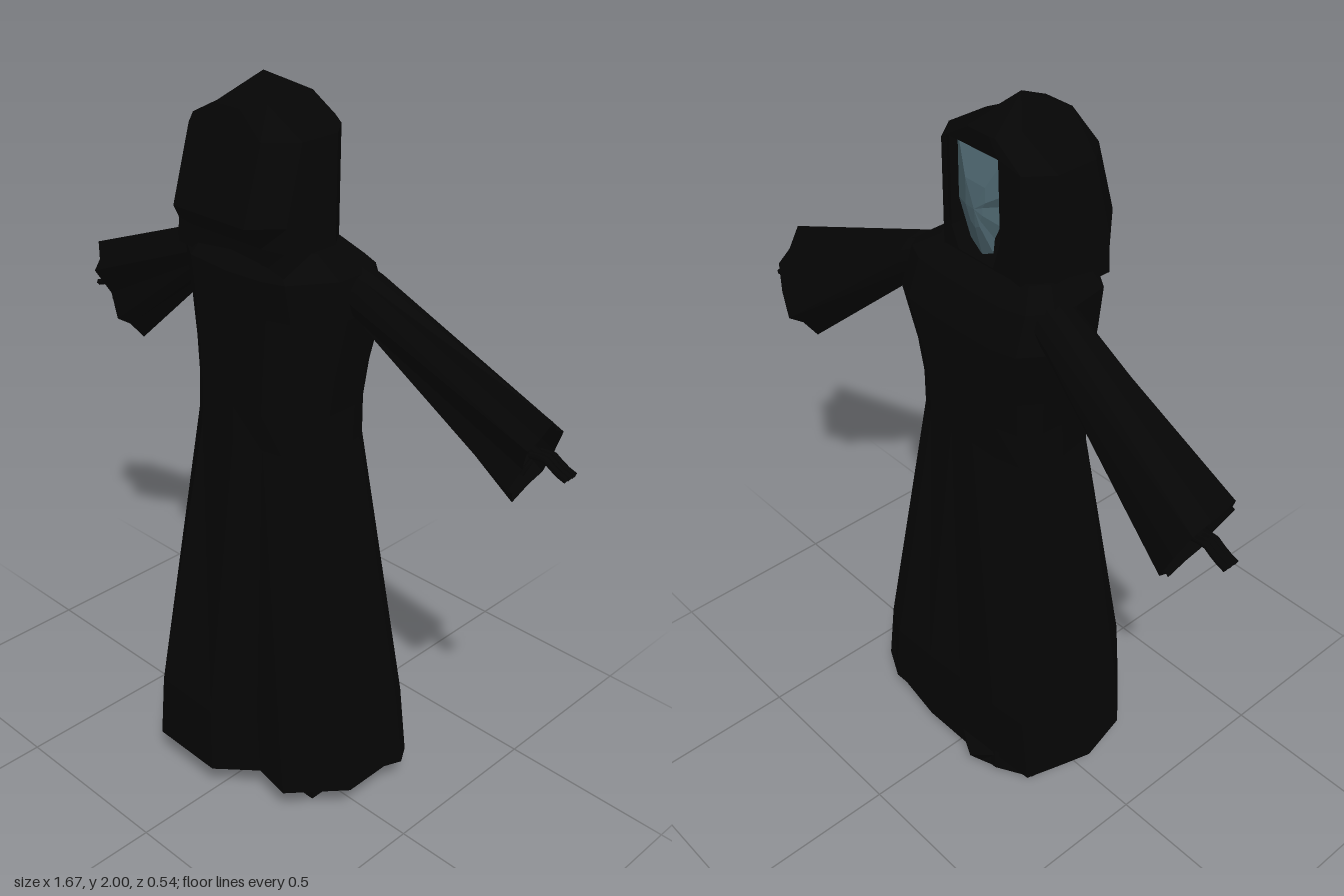
import * as THREE from 'three';

const cloth = new THREE.MeshStandardMaterial({ color: 0x050505, side: THREE.DoubleSide });
cloth.name = 'black cloth';
const skin = new THREE.MeshStandardMaterial({ color: 0x4d666f, side: THREE.DoubleSide });
skin.name = 'pale teal skin';

// Faceted mesh from a list of triangles (each three [x, y, z] points)
function facets(name, tris, mat = cloth) {
  const g = new THREE.BufferGeometry();
  g.setAttribute('position', new THREE.Float32BufferAttribute(tris.flat(2), 3));
  g.computeVertexNormals();
  const m = new THREE.Mesh(g, mat);
  m.name = name;
  return m;
}

// Triangles from a ring of points to one tip
const fan = (ring, tip) => ring.map((p, j) => [p, tip, ring[(j + 1) % ring.length]]);

// Triangles between neighbouring rings; skip(row, column) leaves holes
function strips(rings, { skip, open } = {}) {
  const tris = [], n = rings[0].length;
  const cols = open ? n - 1 : n;
  for (let i = 0; i < rings.length - 1; i++) {
    for (let j = 0; j < cols; j++) {
      if (skip && skip(i, j)) continue;
      const k = (j + 1) % n;
      const [a, b, c, d] = [rings[i][j], rings[i][k], rings[i + 1][k], rings[i + 1][j]];
      tris.push([a, d, b], [b, d, c]);
    }
  }
  return tris;
}

// Joins rings into a mesh; base and tip close the ends
function loft(name, rings, { base, tip, ...rest } = {}) {
  const tris = strips(rings, rest);
  if (base) tris.push(...fan([...rings[0]].reverse(), base));
  if (tip) tris.push(...fan(rings[rings.length - 1], tip));
  return facets(name, tris);
}

function box(name, w, h, d, x, y, z) {
  const m = new THREE.Mesh(new THREE.BoxGeometry(w, h, d), cloth);
  m.name = name;
  m.position.set(x, y, z);
  return m;
}

// Robe: the folded hem outline blends upward into a rounded torso
function robe() {
  const hem = [[-0.355, -0.01], [-0.32, 0.14], [-0.2, 0.265], [0.02, 0.27], [0.12, 0.18], [0.23, 0.2],
    [0.35, 0.06], [0.35, -0.08], [0.37, -0.13], [0.34, -0.18], [0.25, -0.225], [0.1, -0.22],
    [-0.03, -0.21], [-0.18, -0.21], [-0.3, -0.2], [-0.33, -0.1]];
  const unit = hem.map(([x, z]) => [(x - 0.0075) / 0.3625, (z - 0.0225) / 0.2475]);
  // height, x range, z range, roundness
  const levels = [
    [0.1, -0.355, 0.373, -0.225, 0.27, 0],
    [0.3, -0.327, 0.345, -0.224, 0.27, 0.08],
    [1.1, -0.21, 0.228, -0.14, 0.167, 0.8],
    [1.2, -0.207, 0.225, -0.145, 0.165, 1],
    [1.3, -0.217, 0.235, -0.155, 0.165, 1],
    [1.46, -0.247, 0.262, -0.183, 0.165, 1],
    [1.56, -0.243, 0.253, -0.15, 0.177, 1],
    [1.61, -0.2, 0.175, -0.105, 0.14, 1],
  ];
  const rings = levels.map(([y, x0, x1, z0, z1, t]) => unit.map(([u, v]) => {
    // squarer in front of the body than behind it
    const e = v < 0 ? 4 : 2.6;
    const r = (Math.abs(u) ** e + Math.abs(v) ** e) ** (1 / e);
    const px = u + (u / r - u) * t, pz = v + (v / r - v) * t;
    return [(x0 + x1) / 2 + px * (x1 - x0) / 2, y, (z0 + z1) / 2 + pz * (z1 - z0) / 2];
  }));
  return loft('robe', rings, { base: [0, 0.11, 0.02], tip: [-0.01, 1.62, 0.02] });
}

// Hood: faceted shell with chamfered front corners and an opening facing -z
function hood() {
  // height, x range, opening x range, lip rise, back depth, side depth, front chamfer
  const levels = [
    [1.57, -0.2, 0.167, -0.08, 0.06, 0, 0.145, 0.14, 0.05],
    [1.63, -0.2, 0.167, -0.06, 0.06, -0.015, 0.147, 0.135, 0.05],
    [1.69, -0.2, 0.167, -0.085, 0.095, 0, 0.203, 0.13, 0.05],
    [1.88, -0.2, 0.167, -0.08, 0.095, 0.015, 0.147, 0.08, 0.05],
    [1.94, -0.085, 0.045, -0.05, 0.02, 0, 0.14, 0.07, 0.02],
  ];
  const rings = levels.map(([y, x0, x1, o0, o1, lip, zb, zs, c]) => [
    [o1, y + lip, -0.103], [x1 - c, y, -0.1], [x1, y, -0.035], [x1, y, zs], [x1 * 0.6, y, zb],
    [x0 * 0.7, y, zb], [x0, y, zs], [x0, y, -0.035], [x0 + c, y, -0.1], [o0, y + lip, -0.103],
  ]);
  return loft('hood', rings, {
    tip: [-0.02, 2, 0.02],
    skip: (i, j) => j === 9 && (i === 1 || i === 2),
  });
}

// Face: shallow mask with an uneven edge and a raised nose ridge
function face() {
  const edge = [[0.09, 1.9], [-0.078, 1.895], [-0.08, 1.8], [-0.055, 1.76], [-0.055, 1.71],
    [-0.035, 1.67], [-0.03, 1.63], [0.01, 1.61], [0.05, 1.64], [0.09, 1.73]];
  const rim = edge.map(([x, y]) => [x, y, -0.074]);
  const ridge = edge.map(([x, y]) => [x * 0.4 - 0.005, 1.755 + (y - 1.755) * 0.4, -0.104]);
  return facets('face', [...strips([rim, ridge]), ...fan(ridge, [-0.008, 1.75, -0.113])], skin);
}

// Sleeve: flares from the shoulder to a ragged cuff, its top edge swept toward +z
function sleeve(s) {
  const n = 12;
  const ring = (top, bottom, z0, z1, ragged, sweep) => Array.from({ length: n }, (_, i) => {
    const a = i / n * Math.PI * 2;
    const k = i % 2 ? ragged : 1;
    const c = Math.cos(a) * k / 2, w = Math.sin(a) * k / 2;
    return [s * ((top[0] + bottom[0]) / 2 + c * (top[0] - bottom[0])),
      (top[1] + bottom[1]) / 2 + c * (top[1] - bottom[1]),
      (z0 + z1) / 2 + w * (z1 - z0) + Math.max(c, 0) * sweep];
  });
  return loft('sleeve', [
    ring([0.18, 1.59], [0.18, 1.49], -0.11, 0.02, 1, 0),
    ring([0.27, 1.557], [0.27, 1.43], -0.125, 0.01, 1, 0),
    ring([0.797, 1.357], [0.673, 1.08], -0.198, -0.04, 0.78, 0.1),
  ]);
}

// Hand: forearm and curled fingers
function hand(s) {
  const group = new THREE.Group();
  group.name = 'hand';
  const strand = (name, pts, r) => {
    const curve = new THREE.CatmullRomCurve3(pts.map(([x, y, z]) => new THREE.Vector3(s * x, y, z)));
    const m = new THREE.Mesh(new THREE.TubeGeometry(curve, 5, r, 5), cloth);
    m.name = name;
    group.add(m);
  };
  strand('forearm', [[0.4, 1.4, -0.08], [0.6, 1.3, -0.1], [0.75, 1.237, -0.105]], 0.014);
  [-0.12, -0.105, -0.09].forEach((z) =>
    strand('finger', [[0.73, 1.242, z], [0.775, 1.245, z], [0.8, 1.228, z], [0.833, 1.216, z]], 0.009));
  strand('thumb', [[0.74, 1.235, -0.085], [0.735, 1.215, -0.07], [0.73, 1.2, -0.065]], 0.007);
  return group;
}

export function createModel() {
  const model = new THREE.Group();
  model.name = 'hoodedFigure';
  model.add(robe(), hood(), face());

  // Under robe showing below the hem, with a pointed fold
  const under = [[-0.285, -0.1], [-0.275, -0.16], [-0.18, -0.215], [0.1, -0.22], [0.24, -0.2], [0.255, -0.1]];
  model.add(loft('underRobe', [
    under.map(([x, z], i) => [x, 0.047 + i * 0.002, z]),
    under.map(([x, z]) => [x, 0.12, z]),
  ], { open: true }));
  model.add(loft('hemFold', [
    [[-0.18, 0.05, -0.21], [-0.13, 0.05, -0.228], [-0.04, 0.05, -0.21]],
    [[-0.18, 0.1, -0.21], [-0.13, 0.1, -0.266], [-0.03, 0.1, -0.21]],
    [[-0.18, 0.11, -0.2], [-0.13, 0.11, -0.2], [-0.03, 0.11, -0.2]],
  ], { open: true }));

  for (const s of [-1, 1]) {
    model.add(sleeve(s), hand(s));
    const x = s < 0 ? -0.178 : 0.203;
    model.add(box('leg', 0.045, 0.14, 0.09, x, 0.07, 0.015));
    model.add(box('heel', 0.048, 0.065, 0.13, x, 0.0325, 0.013));
    model.add(box('toe', 0.048, 0.04, 0.09, x, 0.02, -0.075));
  }
  return model;
}
